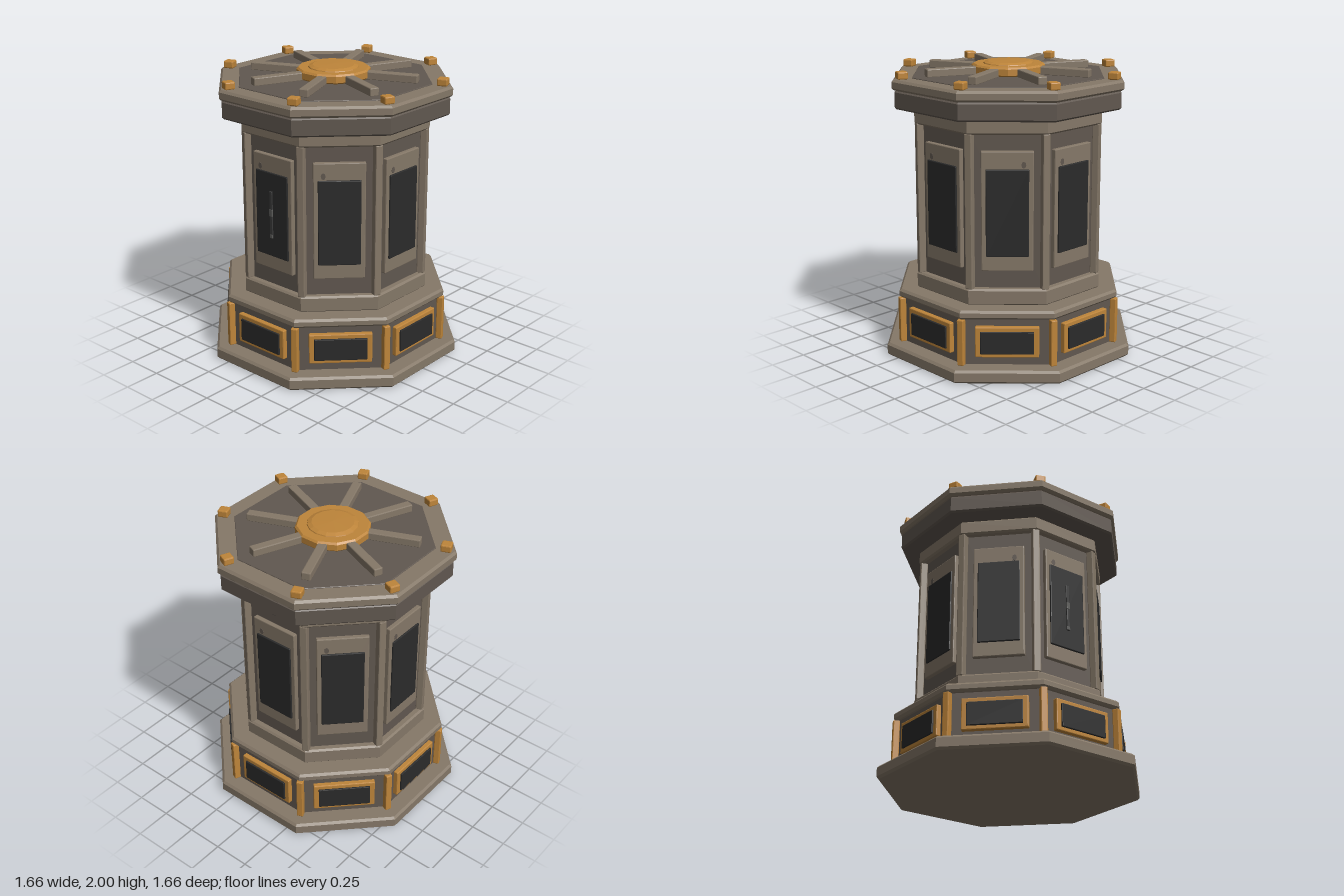
import * as THREE from 'three';
import { RoundedBoxGeometry } from 'three/addons/geometries/RoundedBoxGeometry.js';

const mat = (name, color, flatShading = false) => {
  const m = new THREE.MeshStandardMaterial({ color, flatShading });
  m.name = name;
  return m;
};

export function createModel() {
  const root = new THREE.Group();
  root.name = 'octagonalShrine';

  const lightStone = mat('lightStone', 0x857868, true);
  const darkStone = mat('darkStone', 0x615850, true);
  const gold = mat('gold', 0xbe853a, true);
  const black = mat('blackPanel', 0x2b2b2b, true);
  const iron = mat('iron', 0x3a3a3a, true);
  const steel = mat('steel', 0x5a5a58, true);

  const add = (parent, name, geometry, material, x = 0, y = 0, z = 0) => {
    const mesh = new THREE.Mesh(geometry, material);
    mesh.name = name;
    mesh.position.set(x, y, z);
    parent.add(mesh);
    return mesh;
  };

  // Prism with bevelled rims; a is the distance from the axis to a flat side
  const prism = (name, material, a, y0, y1, bevel = 0.012, sides = 8) => {
    const k = 1 / Math.cos(Math.PI / sides);
    const profile = [
      [0, y0], [a - bevel, y0], [a, y0 + bevel],
      [a, y1 - bevel], [a - bevel, y1], [0, y1],
    ].map(([r, y]) => new THREE.Vector2(r * k, y));
    return add(root, name, new THREE.LatheGeometry(profile, sides, Math.PI / sides), material);
  };

  const block = (w, h, d, r = 0.006) => new RoundedBoxGeometry(w, h, d, 1, r);

  // Stacked body
  prism('foot', lightStone, 0.83, 0, 0.09, 0.015);
  prism('plinth', darkStone, 0.71, 0.085, 0.415, 0.004);
  prism('plinthCap', lightStone, 0.742, 0.41, 0.47, 0.015);
  prism('columnBase', lightStone, 0.62, 0.465, 0.578);
  prism('columnCore', darkStone, 0.575, 0.57, 1.62, 0.004);
  prism('columnCollar', lightStone, 0.62, 1.608, 1.71);
  prism('cornice', darkStone, 0.742, 1.715, 1.84);
  prism('roofRim', lightStone, 0.758, 1.84, 1.912, 0.015);
  prism('roofPlate', darkStone, 0.63, 1.9, 1.918, 0.003);

  // Roof medallion
  prism('medallion', gold, 0.24, 1.915, 1.98, 0.012, 12);
  add(root, 'medallionBoss', new THREE.LatheGeometry(
    [[0.173, 1.975], [0.168, 1.986], [0.14, 1.996], [0, 2]].map(([r, y]) => new THREE.Vector2(r, y)),
    16), gold);

  for (let i = 0; i < 8; i++) {
    // Flat side: everything is placed along its local +z
    const side = new THREE.Group();
    side.name = 'side' + i;
    side.rotation.y = i * Math.PI / 4;
    root.add(side);
    add(side, 'plinthFrame', block(0.42, 0.21, 0.05), gold, 0, 0.255, 0.718);
    add(side, 'plinthPanel', block(0.352, 0.155, 0.03, 0.004), black, 0, 0.253, 0.74);
    add(side, 'wallFrame', block(0.34, 0.8, 0.05), lightStone, 0, 1.1, 0.58);
    add(side, 'wallPanel', block(0.28, 0.585, 0.03, 0.005), black, 0, 1.092, 0.601);

    // Worn chip in a top corner of the wall frame
    const chip = add(side, 'wornChip', new THREE.CylinderGeometry(0.016, 0.016, 0.004, 8),
      darkStone, i % 4 === 3 ? 0.105 : -0.105, 1.412, 0.605);
    chip.rotation.x = Math.PI / 2;
    chip.scale.z = 1.4;

    // Corner: everything is placed along its local +z
    const corner = new THREE.Group();
    corner.name = 'corner' + i;
    corner.rotation.y = (i + 0.5) * Math.PI / 4;
    root.add(corner);
    add(corner, 'plinthPost', block(0.045, 0.318, 0.045), gold, 0, 0.25, 0.785);
    add(corner, 'columnPost', block(0.05, 1.04, 0.05), lightStone, 0, 1.094, 0.638);
    add(corner, 'roofStud', block(0.07, 0.05, 0.07, 0.008), gold, 0, 1.938, 0.752);
    add(corner, 'roofSpoke', block(0.062, 0.055, 0.39), lightStone, 0, 1.942, 0.39);
  }

  // Door handle on the front
  const handle = new THREE.Group();
  handle.name = 'doorHandle';
  root.add(handle);
  add(handle, 'handleBar', block(0.024, 0.33, 0.012, 0.003), iron, 0, 1.095, 0.619);
  add(handle, 'handleGrip', block(0.028, 0.05, 0.014, 0.003), steel, 0, 1.11, 0.62);
  add(handle, 'handleFoot', block(0.024, 0.026, 0.014, 0.003), steel, 0, 0.945, 0.62);

  return root;
}
